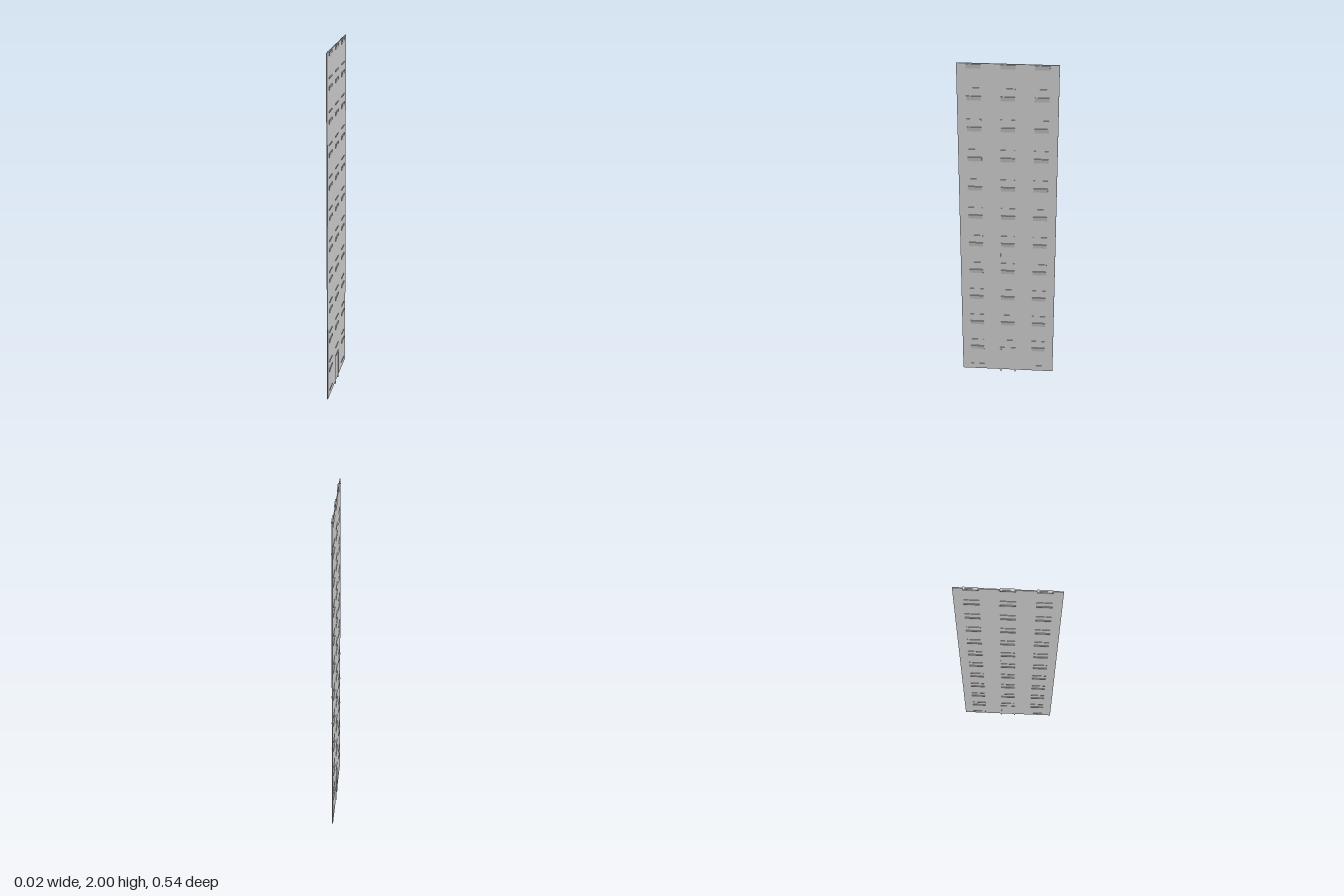
import * as THREE from 'three';

const material = new THREE.MeshStandardMaterial({ color: 0xcccccc, flatShading: true });

export function createModel() {
  const model = new THREE.Group();
  const FLOORS = 11, STEP = 0.181, WIDTH = 0.078;

  function add(name, geometry, x, y, z, parent = model) {
    const mesh = new THREE.Mesh(geometry, material);
    mesh.name = name;
    mesh.position.set(x, y, z);
    parent.add(mesh);
    return mesh;
  }

  // Thin wall slab, raised slightly off the ground
  add('wallSlab', new THREE.BoxGeometry(0.005, 1.985, 0.54), 0, 1.0075, 0);

  // Window hood: flat on top, tapering down to the wall on both faces
  const profile = new THREE.Shape([
    new THREE.Vector2(-0.008, 0.012), new THREE.Vector2(-0.003, -0.014),
    new THREE.Vector2(0.003, -0.014), new THREE.Vector2(0.008, 0.012),
  ]);
  const hood = new THREE.ExtrudeGeometry(profile, { depth: WIDTH, bevelEnabled: false });
  hood.translate(0, 0, -WIDTH / 2);
  const sill = new THREE.BoxGeometry(0.01, 0.007, WIDTH);
  const jamb = new THREE.BoxGeometry(0.001, 0.125, 0.003);

  // Three windows per floor; the middle one on the ground floor is the door
  for (let floor = 0; floor < FLOORS; floor++) {
    const top = 0.174 + floor * STEP;
    for (const column of [-1, 0, 1]) {
      if (floor === 0 && column === 0) continue;
      const unit = new THREE.Group();
      unit.name = 'window';
      unit.position.set(0, top, column * 0.181);
      add('windowHood', hood, 0, 0, 0, unit);
      add('windowSill', sill, 0, -0.125, 0, unit);
      // Slim jamb beside each middle window, one per face
      if (column === 0) {
        for (const side of [1, -1]) add('windowJamb', jamb, side * 0.0027, -0.0625, side * 0.042, unit);
      }
      model.add(unit);
    }
  }

  // Door frame: its posts reach the ground
  const door = new THREE.Group();
  door.name = 'doorFrame';
  for (const side of [1, -1]) {
    add('doorPost', new THREE.BoxGeometry(0.009, 0.172, 0.006), 0, 0.086, side * 0.0425, door);
  }
  add('doorHeader', new THREE.BoxGeometry(0.009, 0.007, 0.091), 0, 0.1755, 0, door);
  model.add(door);

  return model;
}
